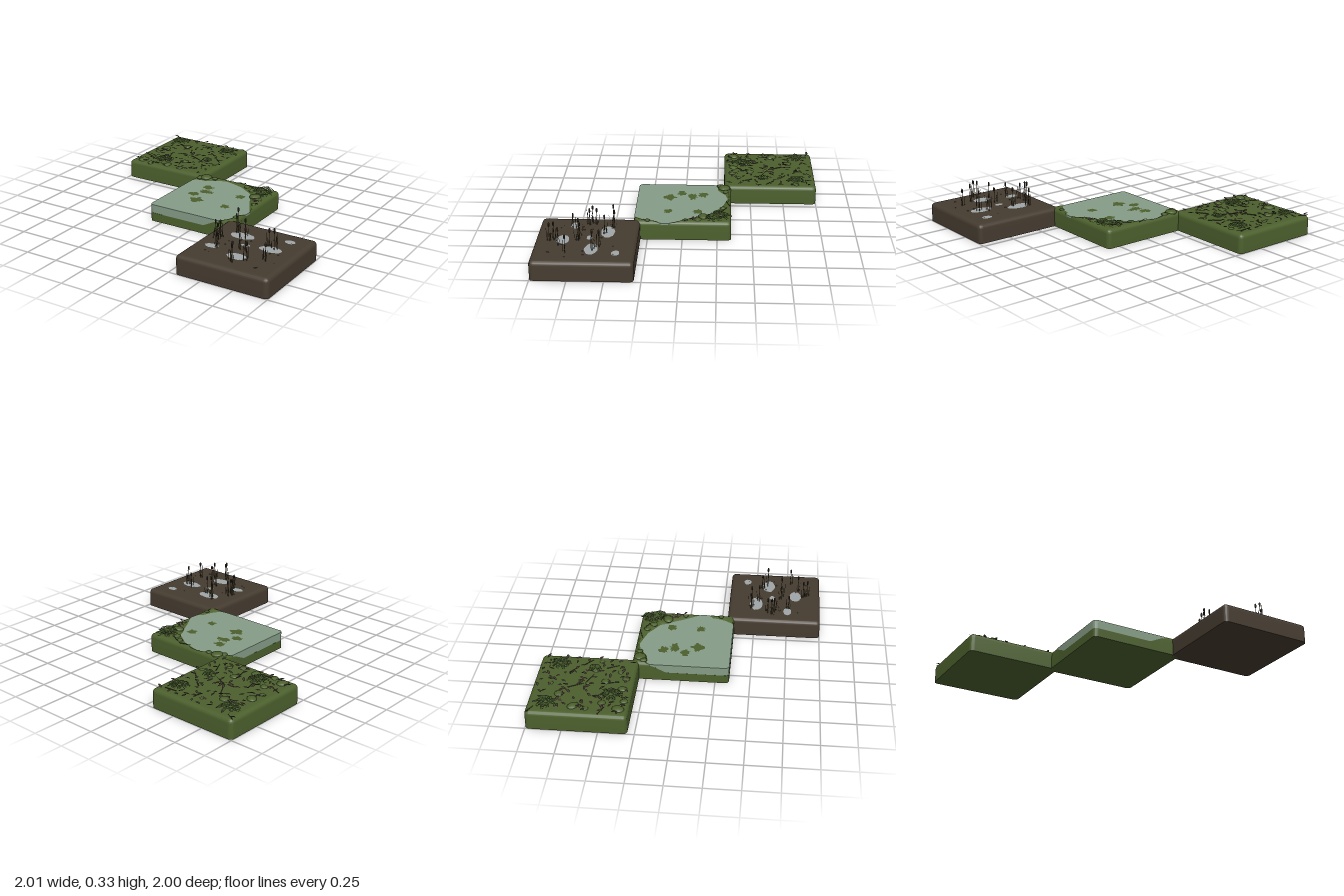
import * as THREE from 'three';
import { mergeGeometries, mergeVertices, toCreasedNormals } from 'three/addons/utils/BufferGeometryUtils.js';

const mat = (name, color, side = THREE.FrontSide) =>
  Object.assign(new THREE.MeshStandardMaterial({ color, side }), { name });

let seed = 7;
const rnd = (a = 0, b = 1) => {
  seed = (seed * 16807) % 2147483647;
  return a + (b - a) * (seed / 2147483647);
};

const HALF = 0.35, TOP = 0.14, R = 0.03, WATER = 0.128;

// Shorelines of the pond as x, z points, running past the tile edge
const backShore = [[-0.4, -0.22], [-0.34, -0.235], [-0.31, -0.25], [-0.25, -0.25], [-0.2, -0.28], [-0.16, -0.31],
  [-0.09, -0.325], [0, -0.3], [0.06, -0.28], [0.12, -0.24], [0.18, -0.2], [0.2, -0.15], [0.23, -0.11],
  [0.26, -0.05], [0.3, 0.02], [0.345, 0.09], [0.4, 0.1]];
const frontShore = [[0.4, 0.15], [0.345, 0.16], [0.31, 0.19], [0.3, 0.24], [0.28, 0.29], [0.24, 0.345], [0.23, 0.4]];
const pondOutline = [...backShore, ...frontShore, [-0.4, 0.4]];

function shoreDistance(x, z) {
  let d = 9, inside = false;
  for (const line of [backShore, frontShore]) {
    for (let i = 1; i < line.length; i++) {
      const [ax, az] = line[i - 1], [bx, bz] = line[i];
      const ux = bx - ax, uz = bz - az;
      const t = THREE.MathUtils.clamp(((x - ax) * ux + (z - az) * uz) / (ux * ux + uz * uz), 0, 1);
      d = Math.min(d, Math.hypot(x - ax - t * ux, z - az - t * uz));
    }
  }
  pondOutline.forEach(([ax, az], i) => {
    const [bx, bz] = pondOutline[(i + 1) % pondOutline.length];
    if ((az > z) !== (bz > z) && x < ax + ((z - az) / (bz - az)) * (bx - ax)) inside = !inside;
  });
  return inside ? d : -d;
}

// Square tile with rounded upright corners and a rounded top rim
function tileGeometry(height) {
  const geo = new THREE.BoxGeometry(2, 1, 2, 64, 1, 64);
  const p = geo.attributes.position, core = HALF - R;
  for (let i = 0; i < p.count; i++) {
    let x = HALF * Math.sin(p.getX(i) * Math.PI / 2), z = HALF * Math.sin(p.getZ(i) * Math.PI / 2);
    const dx = Math.max(0, Math.abs(x) - core), dz = Math.max(0, Math.abs(z) - core), m = Math.max(dx, dz);
    if (dx > 0 && dz > 0) {
      const s = m / Math.hypot(dx, dz);
      x = Math.sign(x) * (core + dx * s);
      z = Math.sign(z) * (core + dz * s);
    }
    const rim = TOP - R + Math.sqrt(Math.max(0, R * R - m * m));
    p.setXYZ(i, x, p.getY(i) > 0 ? Math.min(rim, height(x, z)) : 0, z);
  }
  geo.deleteAttribute('normal');
  geo.deleteAttribute('uv');
  return toCreasedNormals(mergeVertices(geo, 1e-5), 0.7);
}

// Jagged or wavy flat patch lying on the ground
function patch(x, z, rx, rz, y, rough) {
  const pts = [], n = 22;
  for (let i = 0; i < n; i++) {
    const a = i / n * Math.PI * 2, k = 1 - rnd(0, rough);
    pts.push(new THREE.Vector2(Math.cos(a) * rx * k, Math.sin(a) * rz * k));
  }
  return new THREE.ShapeGeometry(new THREE.Shape(pts)).rotateX(-Math.PI / 2).translate(x, y, z);
}

// Pointed leaf along +x, folded upward along its midrib
function leaf(length, width) {
  const s = new THREE.Shape();
  s.moveTo(0, 0);
  s.quadraticCurveTo(length * 0.5, width, length, 0);
  s.quadraticCurveTo(length * 0.5, -width, 0, 0);
  const geo = new THREE.ShapeGeometry(s, 4).rotateX(-Math.PI / 2);
  const p = geo.attributes.position;
  for (let i = 0; i < p.count; i++) p.setY(i, Math.abs(p.getZ(i)) * 0.35);
  geo.computeVertexNormals();
  return geo;
}

const moss = (x, z, r) => new THREE.SphereGeometry(r, 12, 8).scale(1, 0.42, rnd(0.75, 1))
  .rotateY(rnd(0, 6)).translate(x, TOP - 0.002, z);

// Rosette of arching fronds, each with paired leaflets
function fern(x, z, r) {
  const parts = [];
  for (let f = 0; f < 9; f++) {
    const turn = f * 0.7 + rnd(0, 0.3), len = r * rnd(0.75, 1.1);
    for (let i = 1; i <= 6; i++) {
      const t = i / 6;
      for (const side of [-1, 1]) {
        parts.push(leaf(r * 0.38 * (1.15 - t * 0.7), 0.009).rotateY(side * 0.9)
          .translate(len * t * 0.85, 0.004 + 0.014 * Math.sin(t * 2.8), 0)
          .rotateY(turn).translate(x, TOP, z));
      }
    }
  }
  return parts;
}

const twig = (x, z, len, turn) => new THREE.CylinderGeometry(0.0015, 0.003, len, 5).rotateZ(Math.PI / 2)
  .rotateY(turn).translate(x, TOP + 0.003, z);

export function createModel() {
  const root = new THREE.Group();
  const grass = mat('grass green', 0x4c602d);
  const foliage = mat('fern green', 0x42552a, THREE.DoubleSide);
  const mud = mat('mud brown', 0x463c30);
  const water = mat('pond water', 0x869d87);
  const puddle = mat('puddle grey', 0xa0a6a8);
  const litter = mat('dead leaf brown', 0x42362f, THREE.DoubleSide);
  const stalk = mat('reed olive', 0x4d4630, THREE.DoubleSide);
  const head = mat('reed head brown', 0x2f251c);

  const tileAt = (name, x, z) => {
    const g = new THREE.Group();
    g.name = name;
    g.position.set(x, 0, z);
    root.add(g);
    return g;
  };
  const add = (group, name, geo, material) => {
    const m = new THREE.Mesh(Array.isArray(geo) ? mergeGeometries(geo) : geo, material);
    m.name = name;
    group.add(m);
  };
  const flat = () => TOP;

  // Forest floor tile
  const forest = tileAt('forestTile', -0.65, -0.65);
  add(forest, 'forestGround', tileGeometry(flat), grass);
  add(forest, 'mossMounds', [[-0.25, -0.03, 0.045], [-0.26, 0.28, 0.045], [-0.12, -0.15, 0.035], [-0.03, 0.28, 0.035],
    [0.09, 0.29, 0.028], [0.3, -0.2, 0.022], [0.29, 0.09, 0.02], [0.18, 0.06, 0.03], [0.05, 0.15, 0.032],
    [-0.2, 0.16, 0.03], [0.0, -0.23, 0.02], [-0.27, 0.06, 0.025], [-0.1, 0.17, 0.025], [0.17, 0.24, 0.022],
    [0.02, 0.03, 0.018], [-0.17, 0.31, 0.03]].map(a => moss(...a)), grass);
  add(forest, 'ferns', [...fern(-0.23, -0.22, 0.085), ...fern(0.23, -0.2, 0.08),
    ...fern(-0.11, 0.21, 0.085), ...fern(0.2, 0.05, 0.05)], foliage);
  const leaves = [], twigs = [];
  for (let i = 0; i < 10; i++) for (let j = 0; j < 11; j++) {
    const x = -0.29 + i * 0.064 + rnd(-0.025, 0.025), z = -0.29 + j * 0.058 + rnd(-0.025, 0.025);
    leaves.push(leaf(rnd(0.035, 0.055), rnd(0.014, 0.022)).rotateZ(rnd(0, 0.25)).rotateY(rnd(0, 6.28))
      .translate(x, TOP + rnd(0.002, 0.007), z));
    if ((i * 11 + j) % 8 === 0) twigs.push(twig(x, z, rnd(0.06, 0.12), rnd(0, 3)));
  }
  add(forest, 'fallenLeaves', leaves, litter);
  add(forest, 'twigs', twigs, litter);

  // Pond tile: banks slope down to a shallow bed
  const pond = tileAt('pondTile', 0, 0);
  add(pond, 'pondGround', tileGeometry((x, z) =>
    THREE.MathUtils.clamp(WATER - 0.5 * shoreDistance(x, z), 0.065, TOP)), grass);
  const E = HALF - 0.0005, clampE = v => THREE.MathUtils.clamp(v, -E, E);
  const rim = pondOutline.slice(0, -1).map(([x, z]) => new THREE.Vector2(clampE(x), clampE(z)));
  for (let i = 0; i <= 4; i++) {
    const a = Math.PI / 2 * (1 + i / 4);
    rim.push(new THREE.Vector2(-E + R + Math.cos(a) * R, E - R + Math.sin(a) * R));
  }
  add(pond, 'pondWater', new THREE.ExtrudeGeometry(new THREE.Shape(rim), { depth: 0.07, bevelEnabled: false })
    .rotateX(Math.PI / 2).translate(0, WATER, 0), water);
  add(pond, 'floatingPlants', [[-0.155, -0.14, 0.053, 0.043], [-0.12, -0.06, 0.068, 0.046], [-0.18, 0.02, 0.048, 0.045],
    [-0.1, 0.105, 0.07, 0.055], [0.15, -0.11, 0.054, 0.044], [0.145, 0.11, 0.045, 0.037]]
    .map(([x, z, rx, rz]) => patch(x, z, rx, rz, WATER + 0.003, 0.5)), grass);
  add(pond, 'bankMoss', [[-0.27, -0.3, 0.045], [-0.31, -0.27, 0.028], [-0.2, -0.31, 0.026], [0.25, -0.15, 0.045],
    [0.3, -0.11, 0.028], [0.1, -0.29, 0.025], [0.17, -0.25, 0.03], [0.31, -0.02, 0.02], [0.32, 0.25, 0.02]]
    .map(a => moss(...a)), grass);
  add(pond, 'bankFerns', [...fern(0.25, -0.27, 0.09), ...fern(0.29, -0.21, 0.065)], foliage);
  const bankLeaves = [];
  for (let i = 0; i < 24; i++) {
    const t = i / 23;
    bankLeaves.push(leaf(rnd(0.03, 0.045), 0.016).rotateY(rnd(0, 6.28))
      .translate(0.2 + 0.11 * Math.sqrt(t) + rnd(-0.01, 0.01), TOP + rnd(0.002, 0.008), -0.3 + t * 0.27));
  }
  add(pond, 'bankLeaves', bankLeaves, litter);
  add(pond, 'bankTwigs', [twig(0.02, -0.325, 0.09, 0.3), twig(0.13, -0.3, 0.07, -0.5)], litter);

  // Mud tile with puddles
  const marsh = tileAt('marshTile', 0.65, 0.65);
  add(marsh, 'marshGround', tileGeometry(flat), mud);
  add(marsh, 'puddles', [[-0.12, -0.14, 0.095, 0.052], [0.15, -0.05, 0.088, 0.049], [0.01, 0.16, 0.076, 0.047],
    [-0.215, 0.1, 0.054, 0.033], [0.205, -0.22, 0.04, 0.03], [-0.025, -0.02, 0.034, 0.02]]
    .map(([x, z, rx, rz]) => patch(x, z, rx, rz, TOP + 0.002, 0.12)), puddle);

  // Reeds: x, z and tip height, each with a dark head and a few low blades
  const stalks = [], heads = [], blades = [];
  [[-0.175, -0.175, 0.33], [-0.26, -0.02, 0.28], [-0.23, 0.0, 0.27], [-0.19, -0.18, 0.28], [-0.17, 0.11, 0.26],
    [-0.085, -0.12, 0.29], [-0.03, 0.05, 0.26], [0.015, 0.05, 0.31], [0.03, 0.25, 0.28], [0.015, 0.22, 0.28],
    [0.1, 0.18, 0.28], [0.17, -0.06, 0.3], [0.205, 0.12, 0.275], [0.11, -0.1, 0.27], [-0.24, -0.05, 0.27]]
    .forEach(([x, z, tip]) => {
      const len = tip - TOP;
      stalks.push(new THREE.CylinderGeometry(0.0018, 0.0028, len, 5).translate(x, TOP + len / 2, z));
      heads.push(new THREE.CapsuleGeometry(0.0065, 0.02, 3, 8).translate(x, tip - 0.018, z));
      for (let k = 0; k < 4; k++) {
        blades.push(leaf(rnd(0.05, 0.125), 0.006).rotateZ(rnd(1.35, 1.55)).rotateY(rnd(0, 6.28))
          .translate(x + rnd(-0.02, 0.02), TOP, z + rnd(-0.02, 0.02)));
      }
    });
  add(marsh, 'reedStalks', stalks, stalk);
  add(marsh, 'reedHeads', heads, head);
  add(marsh, 'reedBlades', blades, stalk);
  const pebbles = [];
  for (let i = 0; i < 16; i++) {
    pebbles.push(new THREE.SphereGeometry(rnd(0.004, 0.008), 7, 5).scale(1, 0.6, 1)
      .translate(rnd(-0.28, 0.28), TOP, rnd(-0.28, 0.28)));
  }
  add(marsh, 'mudPebbles', pebbles, mud);
  return root;
}
